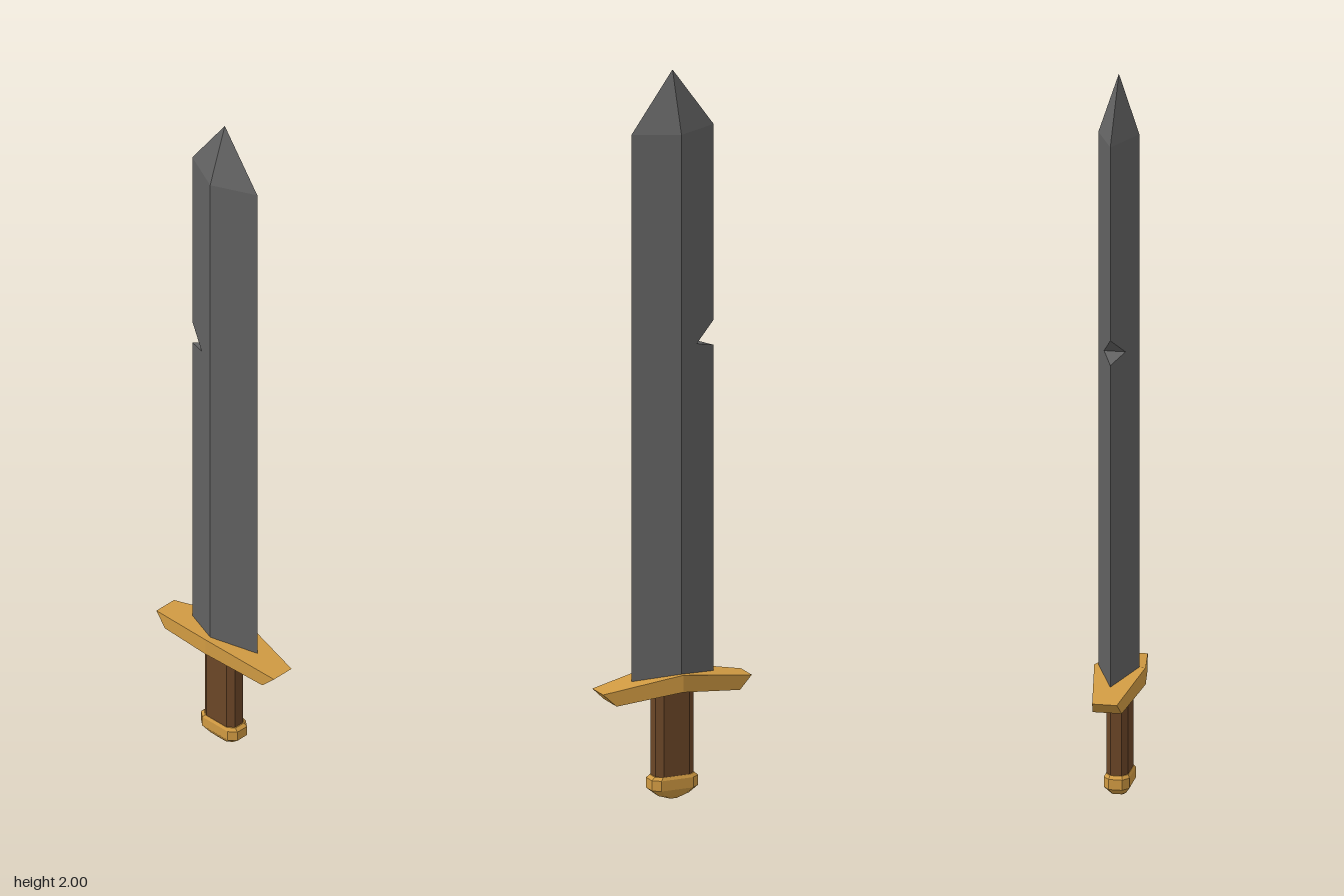
import * as THREE from 'three';

// Skin a list of equal-length rings (counterclockwise seen from the end) and cap both ends.
function loft(rings) {
  const pos = [];
  const tri = (a, b, c) => pos.push(...a, ...b, ...c);
  const n = rings[0].length;
  for (let r = 0; r < rings.length - 1; r++) {
    const lo = rings[r], hi = rings[r + 1];
    for (let i = 0; i < n; i++) {
      const j = (i + 1) % n;
      tri(lo[i], lo[j], hi[j]);
      tri(lo[i], hi[j], hi[i]);
    }
  }
  const first = rings[0], last = rings[rings.length - 1];
  for (let i = 1; i < n - 1; i++) {
    tri(first[0], first[i + 1], first[i]);
    tri(last[0], last[i], last[i + 1]);
  }
  const geometry = new THREE.BufferGeometry();
  geometry.setAttribute('position', new THREE.Float32BufferAttribute(pos, 3));
  geometry.computeVertexNormals();
  return geometry;
}

// Flat octagon with chamfered corners
function octagon(y, x, z, cx, cz) {
  return [
    [x, y, z - cz], [x, y, -z + cz], [x - cx, y, -z], [-x + cx, y, -z],
    [-x, y, -z + cz], [-x, y, z - cz], [-x + cx, y, z], [x - cx, y, z],
  ];
}

export function createModel() {
  const group = new THREE.Group();
  const add = (name, geometry, color) => {
    const material = new THREE.MeshStandardMaterial({ color, flatShading: true });
    const mesh = new THREE.Mesh(geometry, material);
    mesh.name = name;
    group.add(mesh);
    return mesh;
  };
  const gold = 0xd09a42;

  // Blade: diamond section; the left corner opens into a flat where the notch is cut
  const W = 0.12, D = 0.055;
  const section = (y, s = 1, left = W) => {
    const z = D * (1 - left / W);
    return [[W * s, y, 0], [0, y, -D * s], [-left * s, y, -z], [-left * s, y, z], [0, y, D * s]];
  };
  const blade = add('blade', loft([
    section(0.32), section(1.228), section(1.247, 1, 0.057), section(1.297),
    section(1.835), section(2, 0),
  ]), 0x626262);
  blade.position.z = -0.003;

  // Guard: drooping arms that taper toward slanted ends
  const station = (xTop, xBottom, yTop, yBottom) => {
    const zAt = (x) => 0.069 - 0.036 * Math.abs(x) / 0.217;
    const zt = zAt(xTop), zb = zAt(xBottom);
    return [[xTop, yTop, -zt], [xTop, yTop, zt], [xBottom, yBottom, zb], [xBottom, yBottom, -zb]];
  };
  add('guard', loft([
    station(-0.217, -0.18, 0.317, 0.282),
    station(0, 0, 0.353, 0.306),
    station(0.217, 0.18, 0.317, 0.282),
  ]), gold);

  // Grip
  add('grip', loft([0.05, 0.32].map((y) => octagon(y, 0.055, 0.029, 0.018, 0.014))), 0x6b4627);

  // Pommel: wider cap with a bevelled top and tapering base
  add('pommel', loft([
    octagon(0, 0.012, 0.012, 0.004, 0.004),
    octagon(0.011, 0.044, 0.022, 0.015, 0.01),
    octagon(0.03, 0.067, 0.034, 0.02, 0.016),
    octagon(0.058, 0.067, 0.034, 0.02, 0.016),
    octagon(0.066, 0.058, 0.03, 0.018, 0.014),
  ]), gold);

  return group;
}
